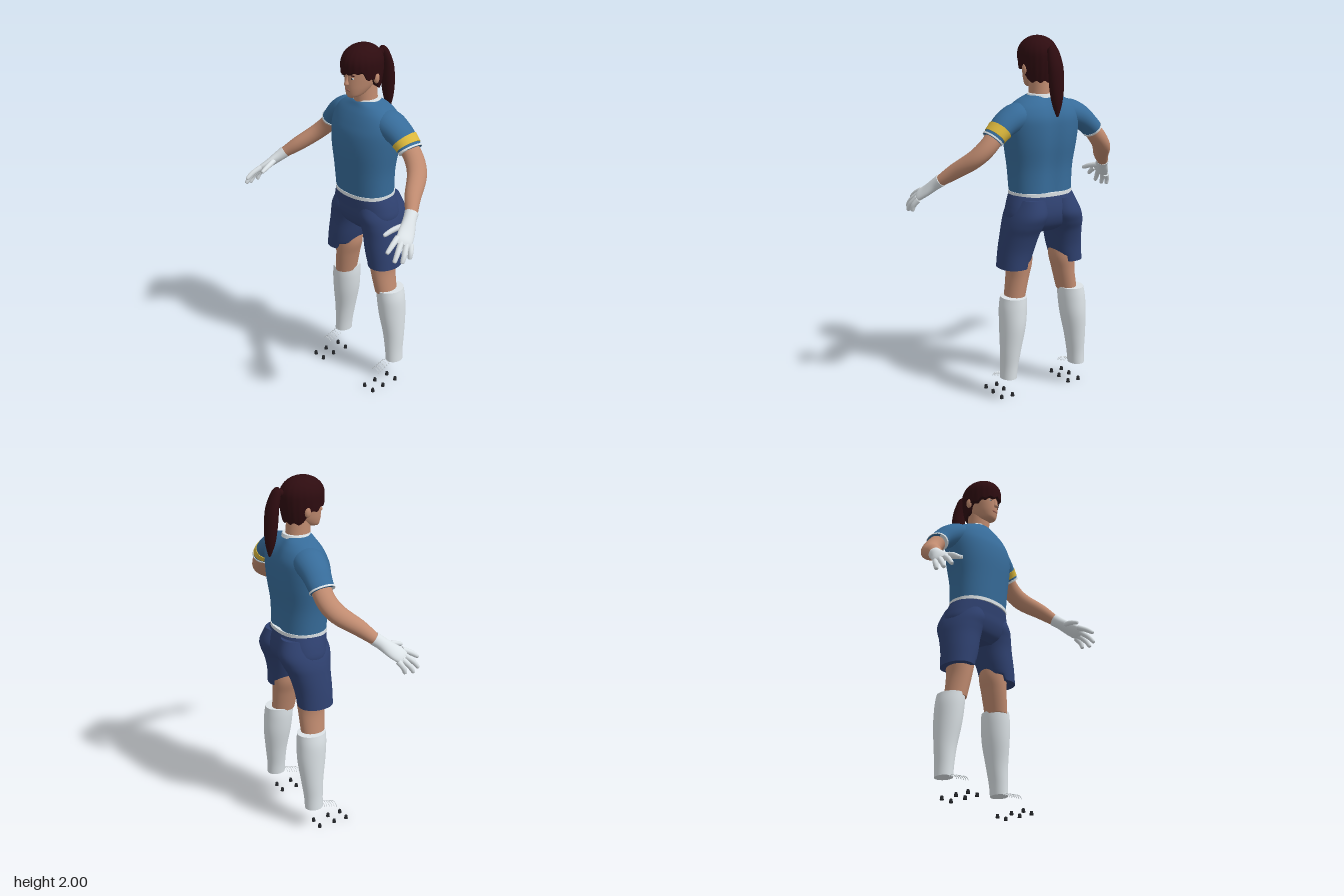
import * as THREE from 'three';

const V = (x, y, z) => new THREE.Vector3(x, y, z);
const paint = (name, color) => Object.assign(new THREE.MeshStandardMaterial({ color }), { name });

// Catmull-Rom sampling of rows of numbers between t0 and t1 (0..1)
function sample(rows, n, t0 = 0, t1 = 1) {
  const at = (i) => rows[Math.min(Math.max(i, 0), rows.length - 1)];
  return Array.from({ length: n + 1 }, (_, k) => {
    const f = (t0 + (t1 - t0) * k / n) * (rows.length - 1);
    const i = Math.min(Math.floor(f), rows.length - 2), u = f - i;
    return at(i).map((b, j) => {
      const a = at(i - 1)[j], c = at(i + 1)[j], d = at(i + 2)[j];
      return b + 0.5 * u * (c - a + u * (2 * a - 5 * b + 4 * c - d + u * (3 * (b - c) + d - a)));
    });
  });
}

// Closed surface through rings of points, with separate flat caps
function loft(rings) {
  const n = rings[0].length, pos = [], idx = [];
  const push = (p) => pos.push(p.x, p.y, p.z);
  rings.forEach((r) => r.forEach(push));
  for (let i = 0; i < rings.length - 1; i++) for (let j = 0; j < n; j++) {
    const a = i * n + j, b = i * n + (j + 1) % n;
    idx.push(a, b, a + n, b, b + n, a + n);
  }
  [rings[0], rings[rings.length - 1]].forEach((r, end) => {
    const s = pos.length / 3;
    r.forEach(push);
    push(r.reduce((c, p) => c.add(p), V(0, 0, 0)).divideScalar(n));
    for (let j = 0; j < n; j++) {
      const a = s + j, b = s + (j + 1) % n;
      idx.push(...(end ? [a, b, s + n] : [b, a, s + n]));
    }
  });
  // turn the faces outward
  const P = (i) => V(pos[3 * i], pos[3 * i + 1], pos[3 * i + 2]);
  let vol = 0;
  for (let i = 0; i < idx.length; i += 3) vol += P(idx[i]).dot(P(idx[i + 1]).cross(P(idx[i + 2])));
  if (vol < 0) idx.reverse();
  const g = new THREE.BufferGeometry();
  g.setAttribute('position', new THREE.Float32BufferAttribute(pos, 3));
  g.setIndex(idx);
  g.computeVertexNormals();
  return g;
}

// Horizontal sections: [y, centre x, half x, centre z, half z]
function stack(rows, { n = 40, steps = 30, e = 2, warp = (p) => p } = {}) {
  const pw = (v) => Math.sign(v) * Math.abs(v) ** (2 / e);
  return loft(sample(rows, steps).map(([y, cx, rx, cz, rz]) => Array.from({ length: n }, (_, j) => {
    const a = j / n * 2 * Math.PI;
    return warp(V(cx + rx * pw(Math.cos(a)), y, cz + rz * pw(Math.sin(a))));
  })));
}

// Sections across a path: [x, y, z, radius, radius along ref]
function limb(rows, { n = 24, steps = 20, t0 = 0, t1 = 1, grow = 0, ref = V(0, 0, 1) } = {}) {
  const s = sample(rows, steps, t0, t1), c = s.map((r) => V(r[0], r[1], r[2]));
  return loft(s.map((r, i) => {
    const T = c[Math.min(i + 1, steps)].clone().sub(c[Math.max(i - 1, 0)]).normalize();
    const u = T.clone().cross(ref).normalize(), v = u.clone().cross(T);
    return Array.from({ length: n }, (_, j) => {
      const a = j / n * 2 * Math.PI;
      return c[i].clone().addScaledVector(u, (r[3] + grow) * Math.cos(a)).addScaledVector(v, (r[4] + grow) * Math.sin(a));
    });
  }));
}

function mirrored(g) {
  const m = g.clone().scale(-1, 1, 1);
  m.setIndex([...m.index.array].reverse());
  m.computeVertexNormals();
  return m;
}

export function createModel() {
  const model = new THREE.Group();
  model.name = 'footballer';
  const shirt = paint('shirt blue', 0x376c9a), navy = paint('shorts navy', 0x2f4170);
  const skin = paint('skin', 0xc08b70), hair = paint('dark hair', 0x2e0c10);
  const white = paint('white', 0xdfe6ea), yellow = paint('armband yellow', 0xdcb83c);
  const dark = paint('stud black', 0x25272b), lip = paint('lips', 0xa5675a);
  const add = (name, g, mat) => {
    const m = new THREE.Mesh(g, mat);
    m.name = name;
    model.add(m);
  };
  const pair = (name, g, mat) => {
    add('left ' + name, g, mat);
    add('right ' + name, mirrored(g), mat);
  };
  const blob = (x, y, z, sx, sy, sz) => new THREE.SphereGeometry(1, 20, 14).scale(sx, sy, sz).translate(x, y, z);

  // Shirt body with a groove along the spine
  const spine = (p) => {
    if (p.z < -0.12) p.z += 0.014 * Math.exp(-((p.x / 0.045) ** 2));
    return p;
  };
  add('shirt body', stack([
    [1.16, 0, 0.176, -0.095, 0.134], [1.3, 0, 0.185, -0.09, 0.14], [1.43, 0, 0.205, -0.094, 0.153],
    [1.52, 0, 0.215, -0.1, 0.152], [1.58, 0, 0.212, -0.108, 0.14], [1.63, 0, 0.188, -0.11, 0.118],
    [1.665, 0, 0.14, -0.109, 0.095], [1.685, 0, 0.09, -0.105, 0.08], [1.692, 0, 0.075, -0.105, 0.072],
  ], { n: 56, steps: 40, e: 2.25, warp: spine }), shirt);
  add('shirt hem', stack([[1.155, 0, 0.18, -0.095, 0.138], [1.175, 0, 0.18, -0.095, 0.138]],
    { n: 56, steps: 1, e: 2.25 }), white);
  add('collar', stack([[1.68, 0, 0.084, -0.105, 0.079], [1.698, 0, 0.075, -0.105, 0.073]], { steps: 2 }), white);

  // Sleeves, cuffs and the captain's armband
  const sleeve = [
    [0.11, 1.59, -0.115, 0.068, 0.085], [0.17, 1.58, -0.12, 0.074, 0.09], [0.235, 1.55, -0.125, 0.066, 0.082],
    [0.285, 1.51, -0.13, 0.056, 0.074], [0.317, 1.478, -0.13, 0.053, 0.07],
  ];
  pair('sleeve', limb(sleeve), shirt);
  pair('sleeve cuff', limb(sleeve, { t0: 0.92, t1: 1, grow: 0.003, steps: 4 }), white);
  add('armband', limb(sleeve, { t0: 0.66, t1: 0.85, grow: 0.004, steps: 6 }), yellow);

  // Bare arms
  pair('arm', limb([
    [0.28, 1.515, -0.13, 0.045, 0.055], [0.345, 1.44, -0.13, 0.047, 0.056], [0.405, 1.375, -0.095, 0.045, 0.055],
    [0.47, 1.305, -0.005, 0.041, 0.045], [0.515, 1.26, 0.045, 0.033, 0.035], [0.54, 1.235, 0.075, 0.028, 0.03],
  ]), skin);

  // Gloves: palm, thumb and four fingers
  const across = V(0.045, -0.04, -0.055).normalize();
  pair('glove palm', limb([
    [0.525, 1.252, 0.055, 0.034, 0.037], [0.545, 1.225, 0.088, 0.03, 0.036], [0.575, 1.185, 0.135, 0.023, 0.045],
    [0.597, 1.158, 0.172, 0.019, 0.046], [0.608, 1.143, 0.19, 0.012, 0.038],
  ], { ref: across }), white);
  const fingers = {
    thumb: [[0.55, 1.212, 0.105], [0.525, 1.197, 0.175], [0.512, 1.175, 0.236]],
    'index finger': [[0.573, 1.177, 0.195], [0.586, 1.152, 0.245], [0.592, 1.122, 0.287]],
    'middle finger': [[0.594, 1.158, 0.19], [0.617, 1.12, 0.235], [0.627, 1.078, 0.268]],
    'ring finger': [[0.612, 1.143, 0.172], [0.635, 1.105, 0.205], [0.642, 1.066, 0.228]],
    'little finger': [[0.618, 1.137, 0.145], [0.638, 1.105, 0.165], [0.642, 1.072, 0.175]],
  };
  for (const [name, [a, b, c]] of Object.entries(fingers)) {
    const near = c.map((v, i) => v + 0.12 * (b[i] - v));
    pair('glove ' + name, limb([[...a, 0.016, 0.016], [...b, 0.0145, 0.0145], [...near, 0.011, 0.011], [...c, 0.004, 0.004]],
      { n: 12, steps: 12, ref: across }), white);
  }

  // Shorts: hips and two legs, the hem raised on the inner thigh
  add('shorts hips', stack([
    [1.17, 0, 0.175, -0.095, 0.131], [1.1, 0, 0.203, -0.107, 0.139], [1.04, 0, 0.215, -0.11, 0.138],
    [0.985, 0, 0.19, -0.108, 0.115], [0.95, 0, 0.09, -0.1, 0.07],
  ], { n: 56, e: 2.3 }), navy);
  const raise = (p) => {
    if (p.x < 0.13) p.y = Math.max(p.y, 0.79);
    return p;
  };
  pair('shorts leg', stack([
    [1.14, 0.09, 0.08, -0.12, 0.125], [1.06, 0.105, 0.103, -0.122, 0.15], [1, 0.123, 0.105, -0.118, 0.138],
    [0.94, 0.138, 0.1, -0.107, 0.12], [0.85, 0.155, 0.094, -0.094, 0.107], [0.755, 0.174, 0.083, -0.09, 0.1],
  ], { e: 2.15, warp: raise }), navy);

  // Legs and socks
  pair('leg', stack([
    [0.9, 0.145, 0.07, -0.095, 0.08], [0.79, 0.141, 0.073, -0.1, 0.082], [0.7, 0.15, 0.06, -0.1, 0.077],
    [0.58, 0.172, 0.054, -0.104, 0.068],
  ]), skin);
  pair('sock', stack([
    [0.595, 0.187, 0.07, -0.122, 0.083], [0.53, 0.193, 0.075, -0.125, 0.085], [0.43, 0.2, 0.071, -0.13, 0.081],
    [0.3, 0.213, 0.058, -0.132, 0.064], [0.2, 0.221, 0.048, -0.129, 0.055], [0.13, 0.226, 0.045, -0.128, 0.053],
  ]), white);

  // Boot laces and studs
  for (let i = 0; i < 6; i++) {
    const g = new THREE.TorusGeometry(0.028, 0.0018, 5, 14, Math.PI).scale(1, 0.65, 1);
    pair('lace', g.translate(0.218, 0.094 + 0.005 * i, 0.01 - 0.016 * i), white);
  }
  for (const x of [0.188, 0.258]) for (const z of [0.068, -0.012, -0.108]) {
    pair('stud', new THREE.CylinderGeometry(0.008, 0.011, 0.02, 12).translate(x, 0.01, z), dark);
  }

  // Neck, head and face
  add('neck', stack([[1.64, 0, 0.068, -0.1, 0.07], [1.7, 0, 0.06, -0.095, 0.068], [1.8, 0, 0.056, -0.09, 0.066]]), skin);
  add('head', stack([
    [1.722, 0, 0.02, 0.005, 0.018], [1.735, 0, 0.042, -0.02, 0.05], [1.765, 0, 0.058, -0.045, 0.081],
    [1.8, 0, 0.068, -0.06, 0.098], [1.85, 0, 0.076, -0.062, 0.098], [1.9, 0, 0.078, -0.065, 0.1], [1.95, 0, 0.06, -0.068, 0.08],
  ]), skin);
  add('nose', stack([
    [1.792, 0, 0.006, 0.036, 0.008], [1.8, 0, 0.014, 0.036, 0.018], [1.82, 0, 0.009, 0.034, 0.012], [1.845, 0, 0.006, 0.032, 0.006],
  ], { n: 16, steps: 12 }), skin);
  add('mouth', blob(0, 1.766, 0.033, 0.021, 0.006, 0.005), lip);
  pair('eye', blob(0.03, 1.833, 0.025, 0.012, 0.005, 0.005), white);
  pair('iris', blob(0.03, 1.833, 0.029, 0.005, 0.005, 0.002), dark);
  pair('eyebrow', blob(0.031, 1.849, 0.026, 0.017, 0.0035, 0.005), hair);
  pair('ear', blob(0.092, 1.828, -0.088, 0.013, 0.03, 0.018), skin);

  // Hair: a cap whose lower edge is a fringe in front and a nape line behind
  const N = 84, rings = [];
  for (let i = 0; i <= 22; i++) {
    rings.push(Array.from({ length: N }, (_, j) => {
      const a = j / N * 2 * Math.PI, s = Math.sin(a), c = Math.cos(a);
      const front = THREE.MathUtils.smoothstep(s, 0.25, 0.65), back = 1 - THREE.MathUtils.smoothstep(s, -0.4, -0.05);
      const edge = 1.825 + front * (0.032 + 0.02 * c) - back * 0.062 + 0.006 * Math.sin(a * 13);
      const t = i / 22, y = 2 - (2 - edge) * (0.002 + 0.998 * t ** 1.8);
      const f = y > 1.9 ? Math.sqrt(1 - ((y - 1.9) / 0.1) ** 2) : 1 - 8 * (1.9 - y) ** 2;
      const r = f * (1 + 0.012 * t * Math.sin(a * 21));
      return V(0.102 * r * c, y, -0.07 + 0.124 * r * s);
    }));
  }
  add('hair', loft(rings), hair);
  add('hair tie', blob(0, 1.925, -0.2, 0.022, 0.022, 0.02), hair);
  add('ponytail', stack([
    [1.955, 0, 0.01, -0.215, 0.008], [1.93, 0, 0.03, -0.222, 0.024], [1.85, 0, 0.042, -0.245, 0.034],
    [1.75, 0, 0.041, -0.255, 0.035], [1.66, 0, 0.028, -0.26, 0.026], [1.59, 0, 0.006, -0.265, 0.006],
  ], { n: 28 }), hair);
  return model;
}
